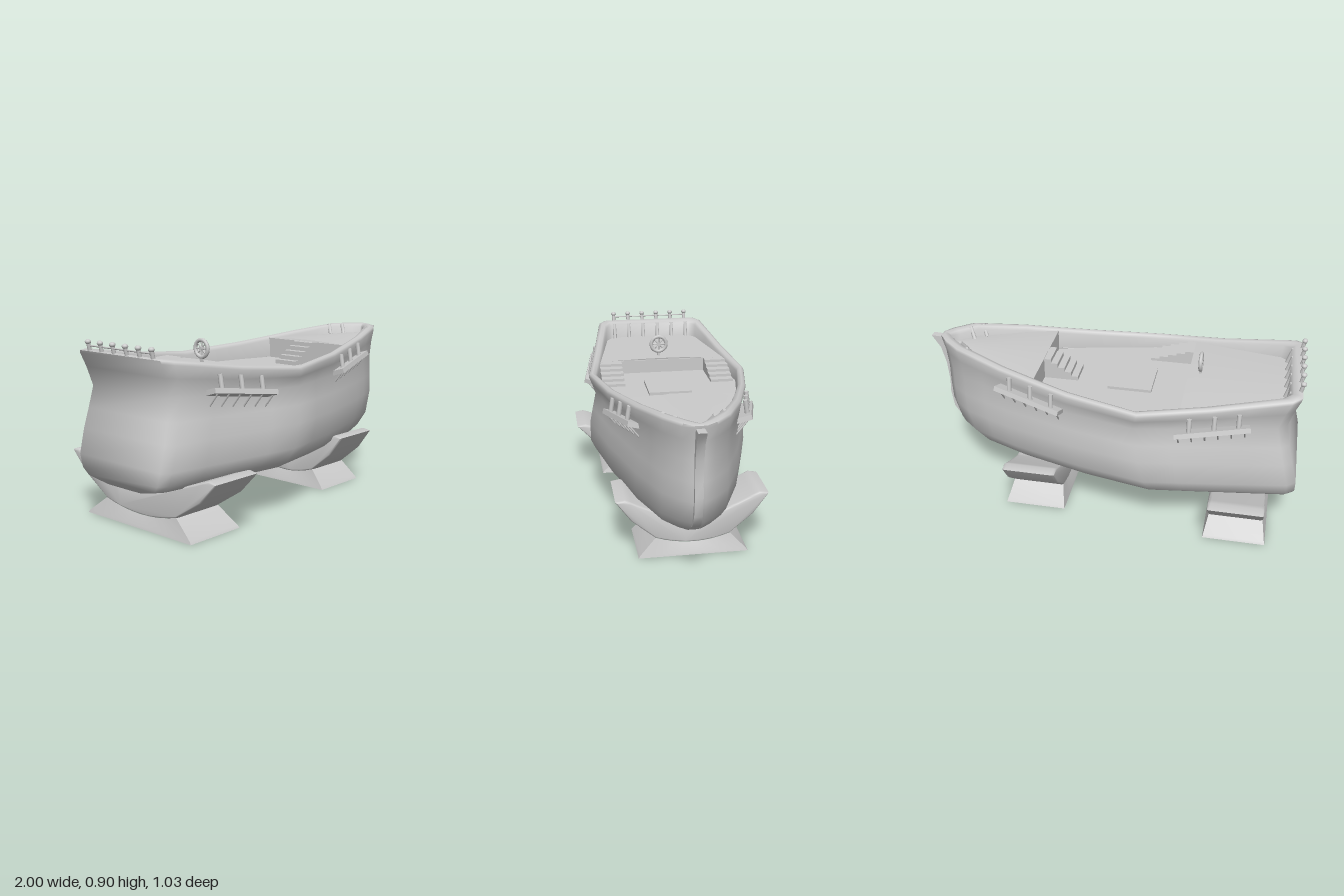
import * as THREE from 'three';
import { toCreasedNormals } from 'three/addons/utils/BufferGeometryUtils.js';

const grey = new THREE.MeshStandardMaterial({ color: 0xcccccc, side: THREE.DoubleSide });
const V = (x, y, z) => new THREE.Vector3(x, y, z);

// Piecewise linear lookup in a short list of [x, value]
function lookup(table, x) {
  if (x <= table[0][0]) return table[0][1];
  for (let i = 1; i < table.length; i++) {
    const [x0, a] = table[i - 1], [x1, b] = table[i];
    if (x <= x1) return a + (b - a) * (x - x0) / (x1 - x0);
  }
  return table[table.length - 1][1];
}

// Plan half-width and sheer height along the hull
const STERN = -0.985, BOW = 0.94;
const plan = [[-0.985, 0.285], [-0.94, 0.32], [-0.56, 0.378], [-0.2, 0.432], [0.17, 0.36],
  [0.55, 0.255], [0.81, 0.155], [0.9, 0.08], [0.94, 0.03]];
const sheer = [[-0.98, 0.855], [-0.55, 0.79], [-0.2, 0.755], [0.2, 0.78], [0.55, 0.823], [0.81, 0.855], [0.94, 0.855]];
const centre = x => 0.022 + 0.02 * Math.max(0, (x - STERN) / (BOW - STERN)) ** 3;
const innerHalf = x => Math.max(0, lookup(plan, x) - 0.045);

function mesh(name, geometry) {
  const m = new THREE.Mesh(geometry, grey);
  m.name = name;
  return m;
}
function box(name, w, h, d, x, y, z) {
  const m = mesh(name, new THREE.BoxGeometry(w, h, d));
  m.position.set(x, y, z);
  return m;
}
function rod(name, a, b, r, sides = 8) {
  const m = mesh(name, new THREE.CylinderGeometry(r, r, a.distanceTo(b), sides));
  m.position.copy(a).lerp(b, 0.5);
  m.quaternion.setFromUnitVectors(V(0, 1, 0), b.clone().sub(a).normalize());
  return m;
}
function surface(positions, index, crease) {
  const g = new THREE.BufferGeometry();
  g.setAttribute('position', new THREE.Float32BufferAttribute(positions, 3));
  g.setIndex(index);
  return toCreasedNormals(g, crease);
}
// Joins rows of n points each into closed bands
function bands(rows, n) {
  const idx = [];
  for (let i = 0; i < rows - 1; i++) for (let j = 0; j < n; j++) {
    const a = i * n + j, b = i * n + (j + 1) % n;
    idx.push(a, a + n, b, b, a + n, b + n);
  }
  return idx;
}

// Hull shell: closed rings lofted from the keel, over the rail and down inside
function hull() {
  // [height, share of sheer, stern x, bow x, width factor, inset]
  const levels = [
    [0.212, 0, -0.95, 0.5, 0, 0], [0.222, 0, -0.97, 0.6, 0.42, 0], [0.25, 0, -0.99, 0.74, 0.82, 0],
    [0.285, 0, -1, 0.8, 0.93, 0], [0.35, 0, -1, 0.87, 0.995, 0], [0.47, 0, -0.97, 0.905, 1, 0],
    [0.56, 0.1, -0.945, 0.91, 0.965, 0], [0.65, 0.25, -0.922, 0.91, 0.925, 0],
    [0.7, 0.7, -0.95, 0.92, 0.965, 0], [0.735, 1, -0.975, 0.937, 1, 0], [0.75, 1, -0.98, 0.94, 0.995, 0.004],
    [0.756, 1, -0.965, 0.925, 1, 0.02], [0.75, 1, -0.935, 0.905, 1, 0.037], [0.735, 1, -0.915, 0.895, 1, 0.045],
    [0.67, 0.3, -0.9, 0.885, 1, 0.048]];
  const stations = [];
  plan.forEach(([x], i) => {
    if (i > 1 && i < 7) stations.push((plan[i - 1][0] + x) / 2);
    stations.push(x);
  });
  const us = stations.map(x => (x - STERN) / (BOW - STERN));
  const n = us.length * 2, pos = [];
  for (const [y, share, xs, xb, w, inset] of levels) {
    for (let j = 0; j < n; j++) {
      const port = j < us.length;
      const u = port ? us[us.length - 1 - j] : us[j - us.length];
      const ref = STERN + u * (BOW - STERN);
      const half = Math.max(w && 0.004, lookup(plan, ref) * w - inset);
      pos.push(xs + (xb - xs) * u, y + (lookup(sheer, ref) - 0.755) * share, centre(ref) + (port ? half : -half));
    }
  }
  return mesh('hull', surface(pos, bands(levels.length, n), 1.25));
}

// Slightly cambered deck strip following the inside of the bulwarks
function deck(name, x0, x1, y, camber) {
  const pos = [], idx = [], n = 12, m = 6;
  for (let i = 0; i <= n; i++) for (let j = 0; j <= m; j++) {
    const x = x0 + (x1 - x0) * i / n, s = j / m * 2 - 1;
    pos.push(x, y + camber * (1 - s * s), centre(x) + s * innerHalf(x));
    if (i < n && j < m) {
      const a = i * (m + 1) + j, b = a + m + 1;
      idx.push(a, a + 1, b, b, a + 1, b + 1);
    }
  }
  return mesh(name, surface(pos, idx, 0.7));
}

// Stairs descending to the main deck from xTop, away from dir
function stairs(name, xTop, length, dir, z, width, y0, y1) {
  const g = new THREE.Group(), n = 5, step = length / n;
  g.name = name;
  for (let i = 0; i < n; i++) {
    const top = y1 - (y1 - y0) * i / n, x = xTop - dir * step * (i + 0.5);
    g.add(box('step', step, top - y0, width, x, (top + y0) / 2, z));
  }
  return g;
}

// Tilted ledge on the hull side with three posts above and slanted bars below
function rack(name, x0, y0, h0, x1, y1, h1, side) {
  const g = new THREE.Group();
  g.name = name;
  const edge = (t, inward, dy) => V(x0 + (x1 - x0) * t, y0 + (y1 - y0) * t + dy,
    0.024 + side * (h0 + (h1 - h0) * t - inward));
  const along = edge(1, 0, 0).sub(edge(0, 0, 0)), len = along.length();
  const X = along.normalize(), Z = V(-X.z, 0, X.x).normalize(), Y = Z.clone().cross(X);
  const board = mesh('ledge', new THREE.BoxGeometry(len, 0.025, 0.09));
  board.quaternion.setFromRotationMatrix(new THREE.Matrix4().makeBasis(X, Y, Z));
  board.rotateX(-0.3 * side);
  board.position.copy(edge(0.5, 0.043, 0));
  g.add(board);
  for (const t of [0.15, 0.47, 0.8]) g.add(rod('post', edge(t, 0.022, 0), edge(t, 0.036, 0.085), 0.012));
  for (let i = 0; i < 6; i++) {
    const t = 0.06 + i * 0.176;
    g.add(rod('bar', edge(t, 0.008, 0.005), edge(t, 0.08, -0.085), 0.0045, 6));
  }
  return g;
}

// Cradle: crescent saddle on a flared, open-bottomed foot
function cradle(name, x, tip, waist, foot) {
  const g = new THREE.Group();
  g.name = name;
  const s = new THREE.Shape(), in0 = tip - 0.045, in1 = waist - 0.07, knee = waist + (tip - waist) * 0.61;
  s.moveTo(-tip, 0.305);
  s.lineTo(-knee, 0.2);
  s.lineTo(-waist, 0.1);
  s.quadraticCurveTo(0, 0.03, waist, 0.1);
  s.lineTo(knee, 0.2);
  s.lineTo(tip, 0.305);
  s.lineTo(in0, 0.313);
  s.quadraticCurveTo(in1 + 0.06, 0.235, in1, 0.213);
  s.quadraticCurveTo(0, 0.19, -in1, 0.213);
  s.quadraticCurveTo(-in1 - 0.06, 0.235, -in0, 0.313);
  const geo = new THREE.ExtrudeGeometry(s, { depth: 0.25, curveSegments: 10,
    bevelThickness: 0.016, bevelSize: 0.008, bevelOffset: -0.006, bevelSegments: 3 });
  geo.translate(0, 0, -0.125).rotateY(-Math.PI / 2);
  g.add(mesh('saddle', toCreasedNormals(geo, 1)));
  // Skirt: top ring follows the saddle's lower arc, bottom rings form a lip
  const pos = [], half = 8, n = 2 * (half + 1);
  for (const [y, w, l] of [[0.003, 0.163, foot], [0.015, 0.16, foot - 0.008], [null, 0.138, waist]]) {
    for (let j = 0; j < n; j++) {
      const front = j <= half, k = (front ? half - j : j - half - 1) / half * 2 - 1;
      pos.push(front ? -w : w, y ?? 0.065 + 0.035 * k * k, -k * l);
    }
  }
  g.add(mesh('foot', surface(pos, bands(3, n), 0.6)));
  g.position.x = x;
  return g;
}

// Steering wheel resting on the aft deck
function wheel() {
  const g = new THREE.Group();
  g.name = 'steeringWheel';
  g.add(mesh('rim', new THREE.TorusGeometry(0.043, 0.01, 8, 20).rotateY(Math.PI / 2)));
  for (let i = 0; i < 4; i++) {
    const a = i * Math.PI / 4, e = V(0, Math.cos(a) * 0.043, Math.sin(a) * 0.043);
    g.add(rod('spoke', e, e.clone().negate(), 0.004, 6));
  }
  g.add(rod('hub', V(-0.01, 0, 0), V(0.01, 0, 0), 0.011), box('stand', 0.012, 0.03, 0.016, 0, -0.06, 0));
  g.position.set(-0.46, 0.832, 0.033);
  return g;
}

export function createModel() {
  const ship = new THREE.Group();
  ship.name = 'ship';
  const MAIN = 0.682, AFT = 0.755, FORE = 0.793;
  ship.add(hull());
  ship.add(deck('mainDeck', -0.42, 0.38, MAIN, 0), deck('aftDeck', -0.91, -0.4, AFT, 0.01),
    deck('foreDeck', 0.36, 0.885, FORE, 0.01));
  ship.add(box('aftBulkhead', 0.01, AFT - MAIN, 2 * innerHalf(-0.4), -0.406, (AFT + MAIN) / 2, 0.022));
  ship.add(box('foreBulkhead', 0.01, FORE - MAIN, 2 * innerHalf(0.36), 0.366, (FORE + MAIN) / 2, centre(0.36)));
  ship.add(box('hatch', 0.23, 0.02, 0.23, -0.105, MAIN + 0.005, 0.035));
  ship.add(stairs('aftStairsRight', -0.4, 0.235, -1, -0.28, 0.125, MAIN, AFT));
  ship.add(stairs('aftStairsLeft', -0.4, 0.235, -1, 0.32, 0.125, MAIN, AFT));
  ship.add(stairs('foreStairs', 0.36, 0.18, 1, 0.037, 0.135, MAIN, FORE));
  ship.add(wheel());

  // Stem timber along the bow
  const stem = new THREE.Shape([[1, 0.838], [0.955, 0.77], [0.932, 0.68], [0.922, 0.57], [0.927, 0.5], [0.912, 0.4],
    [0.87, 0.335], [0.84, 0.313], [0.83, 0.34], [0.87, 0.42], [0.88, 0.6], [0.9, 0.78], [0.92, 0.835]]
    .map(p => new THREE.Vector2(...p)));
  const stemGeo = new THREE.ExtrudeGeometry(stem, { depth: 0.04, bevelEnabled: false }).translate(0, 0, 0.027);
  ship.add(mesh('stem', toCreasedNormals(stemGeo, 0.8)));

  // Stern railing with knobbed posts and inner stays
  const railing = new THREE.Group();
  railing.name = 'sternRailing';
  for (let i = 0; i < 6; i++) {
    const z = -0.198 + i * 0.0885;
    const knob = mesh('knob', new THREE.SphereGeometry(0.015, 12, 8));
    knob.scale.y = 0.8;
    knob.position.set(-0.977, 0.894, z);
    railing.add(knob, rod('post', V(-0.965, 0.84, z), V(-0.977, 0.892, z), 0.01),
      rod('stay', V(-0.925, 0.84, z), V(-0.898, AFT, z), 0.011));
  }
  railing.add(rod('bar', V(-0.973, 0.876, -0.198), V(-0.973, 0.876, 0.2445), 0.004, 6));
  ship.add(railing);

  // Pegs inside the bow
  for (const [x, z] of [[0.745, -0.08], [0.8, -0.025], [0.745, 0.168], [0.8, 0.122]]) {
    const inward = 0.035 * Math.sign(0.04 - z);
    ship.add(rod('bowPeg', V(x + 0.015, 0.85, z - inward * 0.5), V(x - 0.015, FORE, z + inward * 0.5), 0.011));
  }

  for (const side of [1, -1]) {
    const s = side > 0 ? 'Left' : 'Right';
    ship.add(rack('aftRack' + s, -0.745, 0.69, 0.385, -0.38, 0.643, 0.445, side));
    ship.add(rack('foreRack' + s, 0.2, 0.668, 0.39, 0.555, 0.722, 0.3, side));
  }
  ship.add(cradle('aftCradle', -0.717, 0.51, 0.25, 0.37), cradle('foreCradle', 0.377, 0.385, 0.19, 0.28));
  return ship;
}
